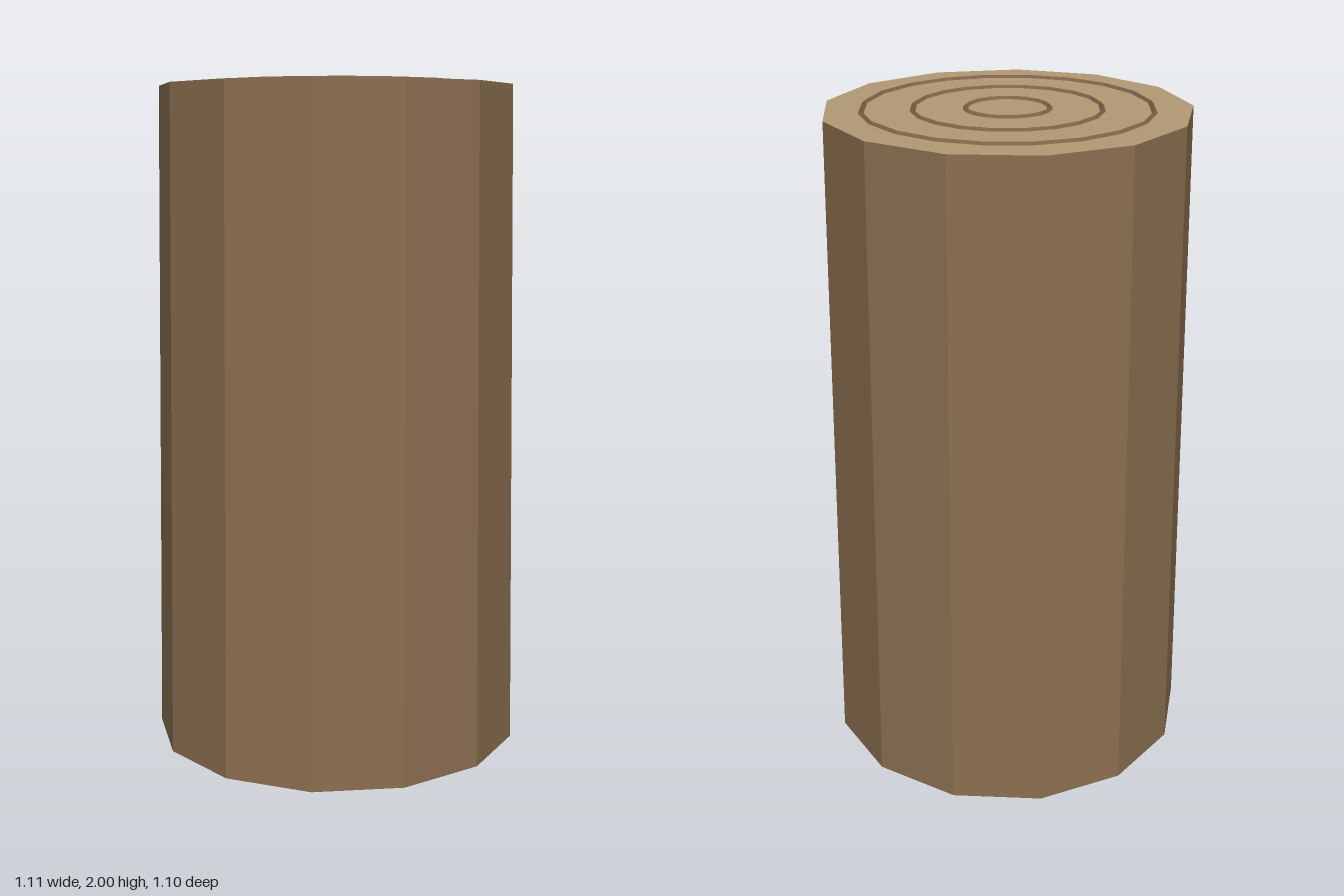
import * as THREE from 'three';

export function createModel() {
  const bark = new THREE.MeshStandardMaterial({ color: 0x8b6f50, flatShading: true });
  bark.name = 'bark brown';
  const wood = new THREE.MeshStandardMaterial({ color: 0xb39a74, flatShading: true });
  wood.name = 'cut wood tan';
  const ringWood = new THREE.MeshStandardMaterial({ color: 0x7d6147, flatShading: true });
  ringWood.name = 'growth ring brown';

  const model = new THREE.Group();
  model.name = 'log';
  const height = 1.992;

  // Tapered 13-sided trunk, one corner pointing back, cut wood on both ends
  const trunk = new THREE.Mesh(
    new THREE.CylinderGeometry(0.53, 0.56, height, 13, 1, false, Math.PI),
    [bark, wood, wood]
  );
  trunk.name = 'trunk';
  trunk.position.y = height / 2;
  model.add(trunk);

  // Growth rings, half sunk into the top cut
  const rings = new THREE.Group();
  rings.name = 'growthRings';
  for (const radius of [0.12, 0.27, 0.415]) {
    const ring = new THREE.Mesh(new THREE.TorusGeometry(radius, 0.008, 4, 20), ringWood);
    ring.name = 'growthRing';
    ring.rotation.x = -Math.PI / 2;
    ring.position.y = height;
    rings.add(ring);
  }
  model.add(rings);

  // Centre the odd-sided outline front to back
  model.children.forEach((part) => { part.position.z = 0.008; });
  return model;
}
